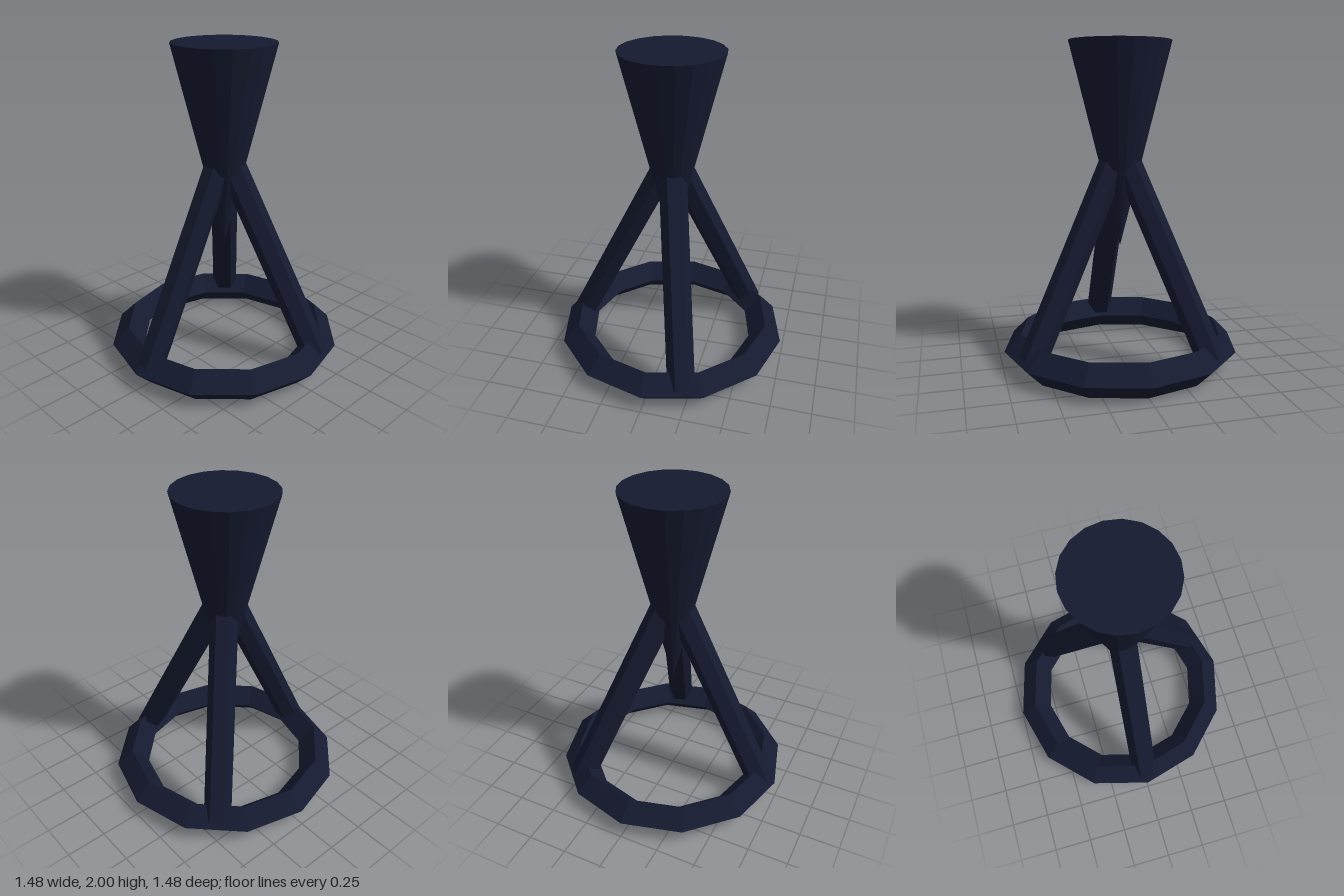
import * as THREE from 'three';

const RING_R = 0.635, TUBE_R = 0.105;
const CONE_TIP = 0.74, CONE_TOP = 2, CONE_R = 0.315;
const APEX = (CONE_TIP + CONE_TOP) / 2; // where the legs meet, inside the cone

export function createModel() {
  const model = new THREE.Group();
  model.name = 'coneStand';
  const material = new THREE.MeshStandardMaterial({ color: 0x151a30, flatShading: true });

  function add(name, geometry, parent = model) {
    const mesh = new THREE.Mesh(geometry, material);
    mesh.name = name;
    parent.add(mesh);
    return mesh;
  }

  // Faceted base ring with a diamond cross-section
  const ring = add('baseRing', new THREE.TorusGeometry(RING_R, TUBE_R, 4, 12));
  ring.rotation.x = -Math.PI / 2;
  ring.position.y = TUBE_R;

  // Inverted cone, closed on top
  const cone = add('cone', new THREE.CylinderGeometry(CONE_R, 0, CONE_TOP - CONE_TIP, 20));
  cone.position.y = APEX;

  // Three hexagonal legs, unevenly spaced, from the ring to the middle of the cone
  const rise = APEX - TUBE_R;
  const legGeometry = new THREE.CylinderGeometry(0.085, 0.085, Math.hypot(RING_R, rise), 6);
  const legs = { rightLeg: 180, frontLeg: -70, backLeg: 45 };
  for (const [name, degrees] of Object.entries(legs)) {
    const pivot = new THREE.Group();
    pivot.name = name;
    pivot.rotation.y = THREE.MathUtils.degToRad(degrees);
    const leg = add(name + 'Bar', legGeometry, pivot);
    leg.position.set(RING_R / 2, (APEX + TUBE_R) / 2, 0);
    leg.rotation.z = Math.atan2(RING_R, rise);
    model.add(pivot);
  }

  return model;
}
